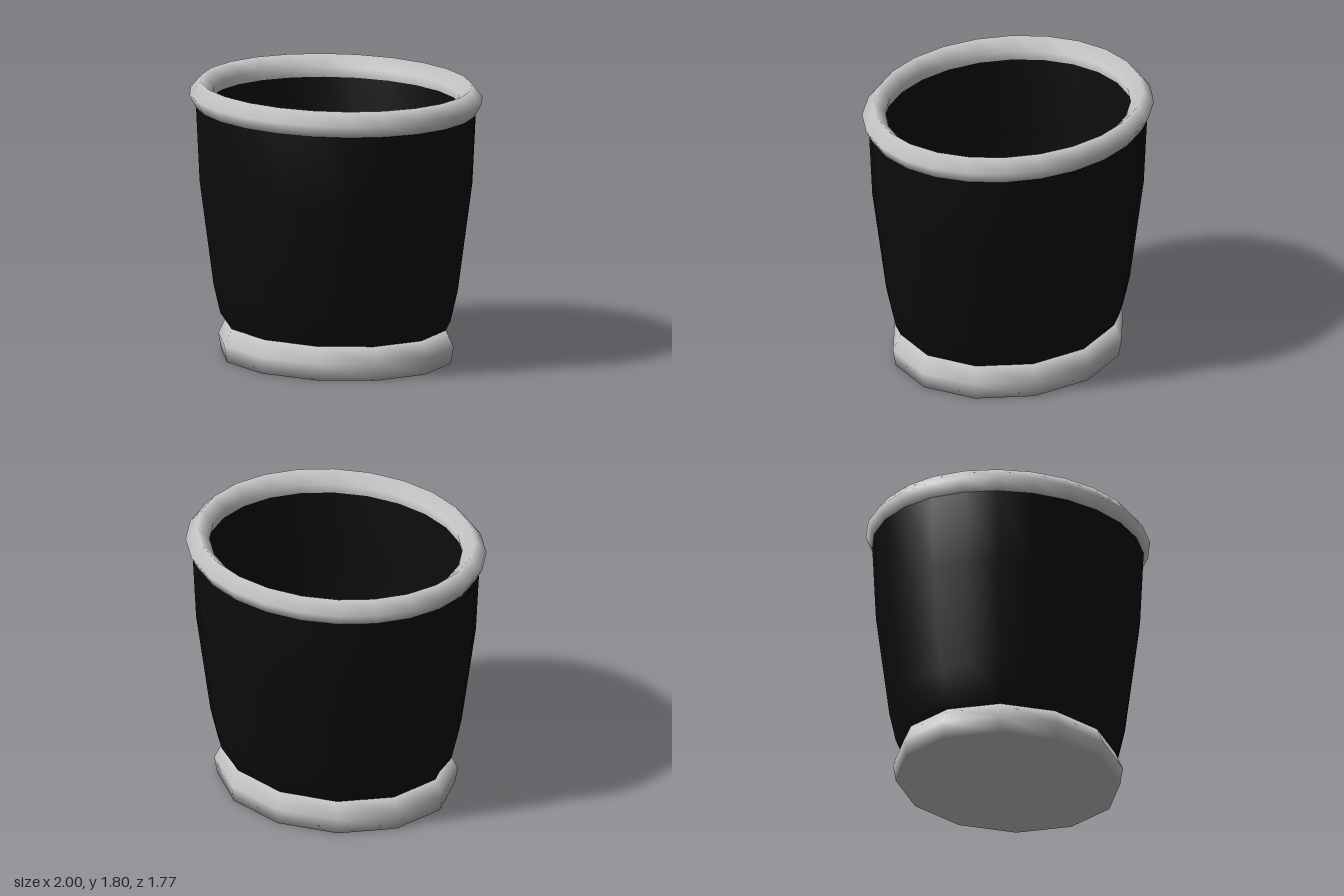
import * as THREE from 'three';

const DEPTH = 0.885; // the plan is an ellipse, narrower front to back

const material = (name, color) => {
  const m = new THREE.MeshStandardMaterial({ color });
  m.name = name;
  return m;
};

// Smooth turned shape from [radius, height] pairs
const turned = (profile, sides) =>
  new THREE.LatheGeometry(profile.map(([r, y]) => new THREE.Vector2(r, y)), sides);

export function createModel() {
  const group = new THREE.Group();
  group.name = 'cup';
  const black = material('black', 0x0c0c0c);
  const grey = material('light grey', 0xcccaca);

  const add = (name, geometry, mat) => {
    geometry.scale(1, 1, DEPTH);
    const mesh = new THREE.Mesh(geometry, mat);
    mesh.name = name;
    group.add(mesh);
  };

  // Foot: twelve-sided disc whose top is also the floor of the cup
  add('foot', turned([[0, 0], [0.79, 0], [0.81, 0.11], [0.755, 0.22], [0, 0.22]], 12), grey);

  // Body: outer wall up, inner wall down
  const body = turned([
    [0.755, 0.215], [0.79, 0.285], [0.835, 0.47], [0.93, 1.15], [0.956, 1.66],
    [0.9, 1.72], [0.85, 1.66], [0.83, 1.15], [0.76, 0.47], [0.7, 0.215],
  ], 24);
  // Flatten the lowest rings to meet the twelve-sided foot
  const pos = body.attributes.position;
  const flat = Math.cos(Math.PI / 12);
  for (let i = 0; i < pos.count; i++) {
    const odd = Math.floor(i / 10) % 2 === 1;
    if (odd && pos.getY(i) < 0.25) {
      pos.setX(i, pos.getX(i) * flat);
      pos.setZ(i, pos.getZ(i) * flat);
    }
  }
  add('body', body, black);

  // Rim: rounded ring around the mouth
  add('rim', turned([
    [0.86, 1.64], [0.957, 1.64], [1, 1.72], [0.925, 1.805], [0.84, 1.73], [0.86, 1.64],
  ], 24), grey);

  return group;
}
